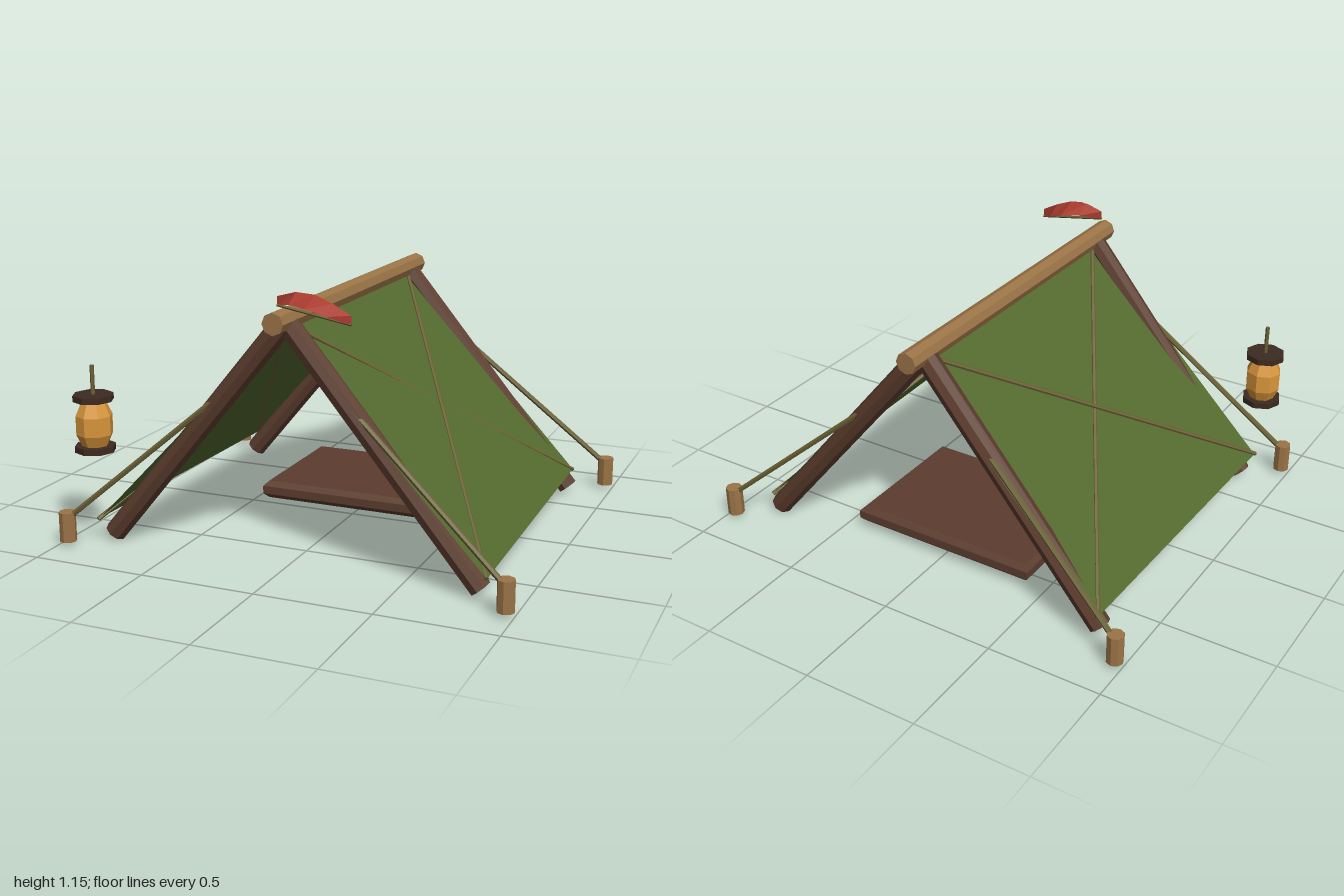
import * as THREE from 'three';

const mat = (color, side = THREE.FrontSide) =>
  new THREE.MeshStandardMaterial({ color, side, flatShading: true });
const V = (x, y, z) => new THREE.Vector3(x, y, z);

export function createModel() {
  const group = new THREE.Group();
  const bark = mat(0x5c3d2e), wood = mat(0x9b7447), rope = mat(0x6b6236);
  const canvas = mat(0x556b2f, THREE.DoubleSide);
  const red = mat(0xa83a2e, THREE.DoubleSide);
  const amber = mat(0xd9963c), iron = mat(0x3d2a20);

  const add = (name, geometry, material, parent = group) => {
    const mesh = new THREE.Mesh(geometry, material);
    mesh.name = name;
    parent.add(mesh);
    return mesh;
  };
  // straight round bar between two points
  const bar = (name, a, b, r, material, sides = 8) => {
    const dir = b.clone().sub(a);
    const mesh = add(name, new THREE.CylinderGeometry(r, r, dir.length(), sides), material);
    mesh.position.copy(a).add(b).multiplyScalar(0.5);
    mesh.quaternion.setFromUnitVectors(V(0, 1, 0), dir.normalize());
    return mesh;
  };
  // strip surface through rows of points
  const loft = (rows) => {
    const n = rows[0].length, index = [];
    for (let i = 0; i < rows.length - 1; i++) {
      for (let j = 0; j < n - 1; j++) {
        const a = i * n + j, b = a + n;
        index.push(a, a + 1, b, b, a + 1, b + 1);
      }
    }
    const g = new THREE.BufferGeometry().setFromPoints(rows.flat());
    g.setIndex(index);
    g.computeVertexNormals();
    return g;
  };

  // ridge pole
  bar('ridgePole', V(0, 1.035, -0.795), V(0, 1.035, 0.795), 0.046, wood);

  // canvas sheet over the ridge, slightly wider at the front
  add('canvas', loft([
    [V(-0.86, 0.11, 0.735), V(0, 1.01, 0.7), V(0.865, 0.11, 0.745)],
    [V(-0.83, 0.11, -0.72), V(0, 1.01, -0.715), V(0.83, 0.11, -0.72)],
  ]), canvas);

  for (const s of [1, -1]) {
    for (const e of [1, -1]) {
      // leaning end poles
      bar('endPole', V(s * 0.82, 0.038, e * 0.675), V(s * 0.015, 1.01, e * 0.675), 0.047, bark);
      // crossed lashings on each canvas slope
      const x = e > 0 ? 0.862 : 0.83, z = e > 0 ? 0.742 : -0.718;
      bar('lashing', V(s * x, 0.11, z), V(s * 0.02, 0.995, -e * 0.635), 0.01, rope, 6);
      // guy ropes and stakes
      bar('guyRope', V(s * 0.95, 0.135, e * 0.818), V(s * 0.29, 0.7, e * 0.695), 0.012, rope, 6);
      bar('stake', V(s * 0.964, 0.025, e * 0.82), V(s * 0.964, 0.155, e * 0.82), 0.036, wood);
    }
  }

  // bevelled sleeping mat
  const w = 0.41, d = 0.295, bevel = 0.022;
  const outline = new THREE.Shape([[-w, -d], [w, -d], [w, d], [-w, d]]
    .map(([x, y]) => new THREE.Vector2(x, y)));
  const bed = add('sleepingMat', new THREE.ExtrudeGeometry(outline, {
    depth: 0.036, bevelEnabled: true, bevelSegments: 1, bevelSize: bevel, bevelThickness: bevel,
  }), bark);
  bed.rotation.x = -Math.PI / 2;
  bed.position.set(0, 0.037 + bevel, -0.285);

  // lantern
  const lantern = new THREE.Group();
  lantern.name = 'lantern';
  lantern.position.set(-0.87, 0, 0.725);
  group.add(lantern);
  const glass = add('lanternGlass', new THREE.SphereGeometry(0.082, 8, 5), amber, lantern);
  glass.scale.y = 1.6;
  glass.position.y = 0.525;
  for (const [name, y] of [['lanternBase', 0.422], ['lanternCap', 0.642]]) {
    add(name, new THREE.CylinderGeometry(0.087, 0.087, 0.026, 8), iron, lantern).position.y = y;
  }
  add('lanternHanger', new THREE.CylinderGeometry(0.009, 0.009, 0.14, 6), rope, lantern).position.y = 0.71;

  // arched red pennant: centre line with drooping edges, pointed at both ends
  const arch = [[0, 1.138, 0], [0.08, 1.16, 0.065], [0.16, 1.155, 0.1], [0.235, 1.125, 0.065], [0.31, 1.085, 0]];
  add('pennant', loft(arch.map(([x, y, h]) =>
    [V(x, y - 0.038, 0.75 - h), V(x, y, 0.75), V(x, y - 0.038, 0.75 + h)])), red);
  bar('pennantCord', V(0, 1.104, 0.75), V(0.31, 1.05, 0.75), 0.006, rope, 6);

  return group;
}
